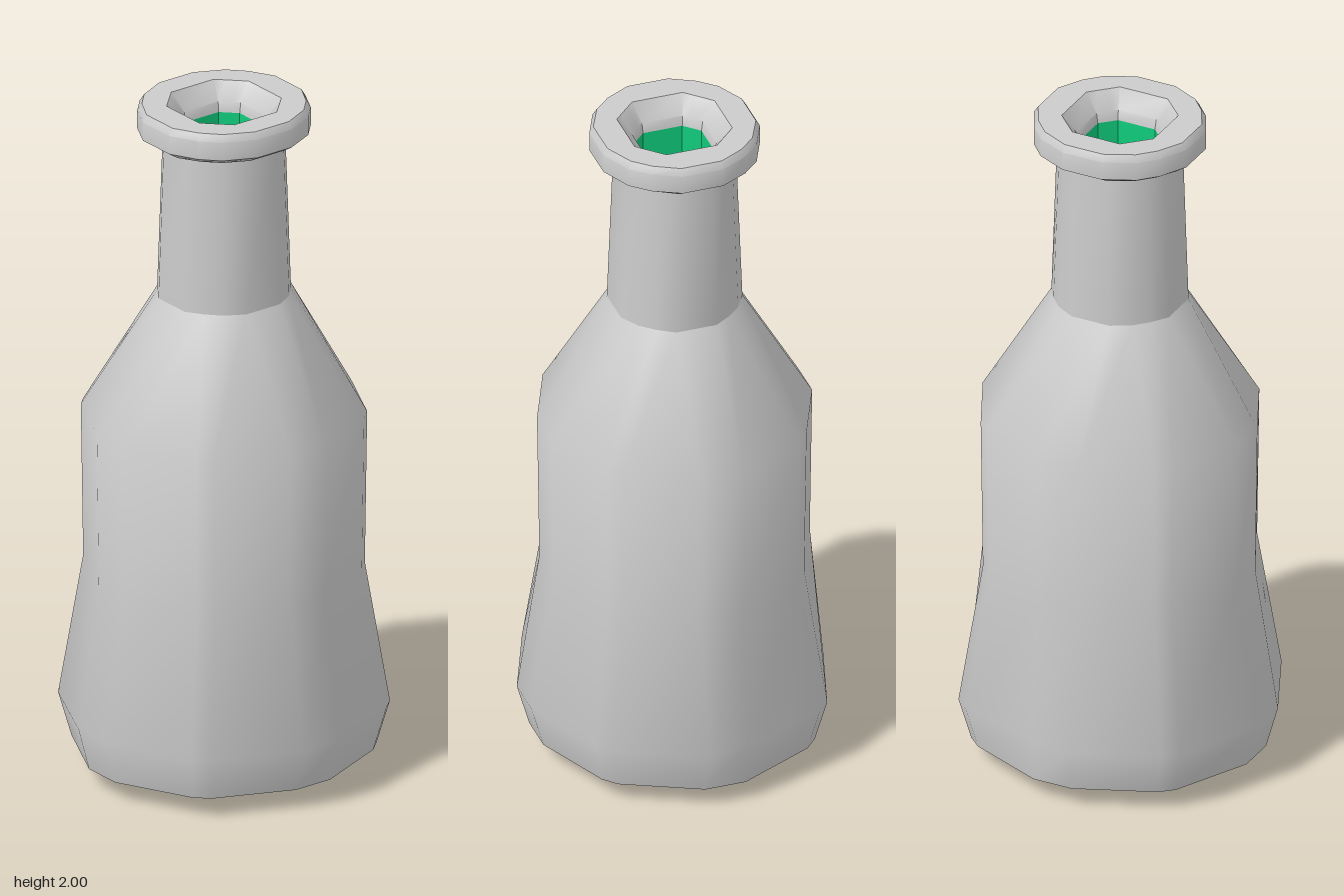
import * as THREE from 'three';
import { toCreasedNormals } from 'three/addons/utils/BufferGeometryUtils.js';

// Corner points of a quarter section, as fractions of the half width and half depth
const SQUARISH = [[0.66, 0.77], [0.75, 0.685]];
const ROUND = [[0.63, 0.82], [0.83, 0.6]];

// Sixteen-sided horizontal section: flat half-length f on each side, two corner points per quarter
function ring(y, hx, hz, corners = SQUARISH, f = 0.06) {
  const [[ax, az], [bx, bz]] = corners;
  const quarter = [[f, hz], [ax * hx, az * hz], [bx * hx, bz * hz], [hx, f]];
  const half = [...quarter, ...quarter.map(([x, z]) => [x, -z]).reverse()];
  const all = [...half, ...half.map(([x, z]) => [-x, z]).reverse()];
  return all.map(([x, z]) => new THREE.Vector3(x, y, z));
}

// Octagonal section with extra points along its diagonals, so it joins to the other sections
function octagon(y, r, f) {
  const at = (t) => [(f + (r - f) * t) / r, (r + (f - r) * t) / r];
  return ring(y, r, r, [at(1 / 3), at(2 / 3)], f);
}

const centre = (y) => Array.from({ length: 16 }, () => new THREE.Vector3(0, y, 0));

// Skin over a stack of sections
function loft(rings, creaseDegrees) {
  const pos = [];
  const tri = (a, b, c) => {
    if (a.equals(b) || b.equals(c) || c.equals(a)) return;
    for (const p of [a, b, c]) pos.push(p.x, p.y, p.z);
  };
  for (let k = 0; k < rings.length - 1; k++) {
    const lo = rings[k], hi = rings[k + 1];
    for (let i = 0; i < lo.length; i++) {
      const j = (i + 1) % lo.length;
      tri(lo[i], lo[j], hi[j]);
      tri(lo[i], hi[j], hi[i]);
    }
  }
  const geo = new THREE.BufferGeometry();
  geo.setAttribute('position', new THREE.Float32BufferAttribute(pos, 3));
  return toCreasedNormals(geo, THREE.MathUtils.degToRad(creaseDegrees));
}

export function createModel() {
  const group = new THREE.Group();
  const glass = new THREE.MeshStandardMaterial({ color: 0xcccccc });
  const green = new THREE.MeshStandardMaterial({ color: 0x10cc7c });
  const add = (name, rings, material, crease) => {
    const mesh = new THREE.Mesh(loft(rings, crease), material);
    mesh.name = name;
    group.add(mesh);
  };

  // Body: flared foot, waist and shoulder, with two chipped points at the back right of the foot
  const foot = ring(0.19, 0.467, 0.447);
  for (const p of foot) {
    if (Math.abs(p.x - 0.06) < 1e-6 && p.z < 0) p.z = -0.42;
    if (p.x > 0.46 && p.z < 0) p.x = 0.442;
  }
  add('body', [
    centre(0),
    ring(0, 0.26, 0.25),
    ring(0.06, 0.43, 0.41),
    foot,
    ring(0.61, 0.396, 0.38),
    ring(1.07, 0.402, 0.387),
    ring(1.43, 0.185, 0.18, ROUND),
  ], glass, 50);

  // Neck
  add('neck', [
    ring(1.43, 0.185, 0.18, ROUND),
    ring(1.91, 0.17, 0.163, ROUND, 0.055),
  ], glass, 40);

  // Lip, turning over into the bevelled mouth
  add('lip', [
    ring(1.9, 0.165, 0.158, ROUND, 0.055),
    ring(1.905, 0.21, 0.2, ROUND),
    ring(1.925, 0.24, 0.232, ROUND),
    ring(1.98, 0.24, 0.232, ROUND),
    ring(2, 0.227, 0.22, ROUND),
    octagon(2, 0.145, 0.075),
    octagon(1.95, 0.105, 0.06),
    octagon(1.92, 0.1, 0.058),
  ], glass, 35);

  // Coloured lining inside the neck
  add('innerLining', [
    octagon(1.92, 0.1, 0.058),
    octagon(1.45, 0.1, 0.058),
    centre(1.45),
  ], green, 35);

  return group;
}
